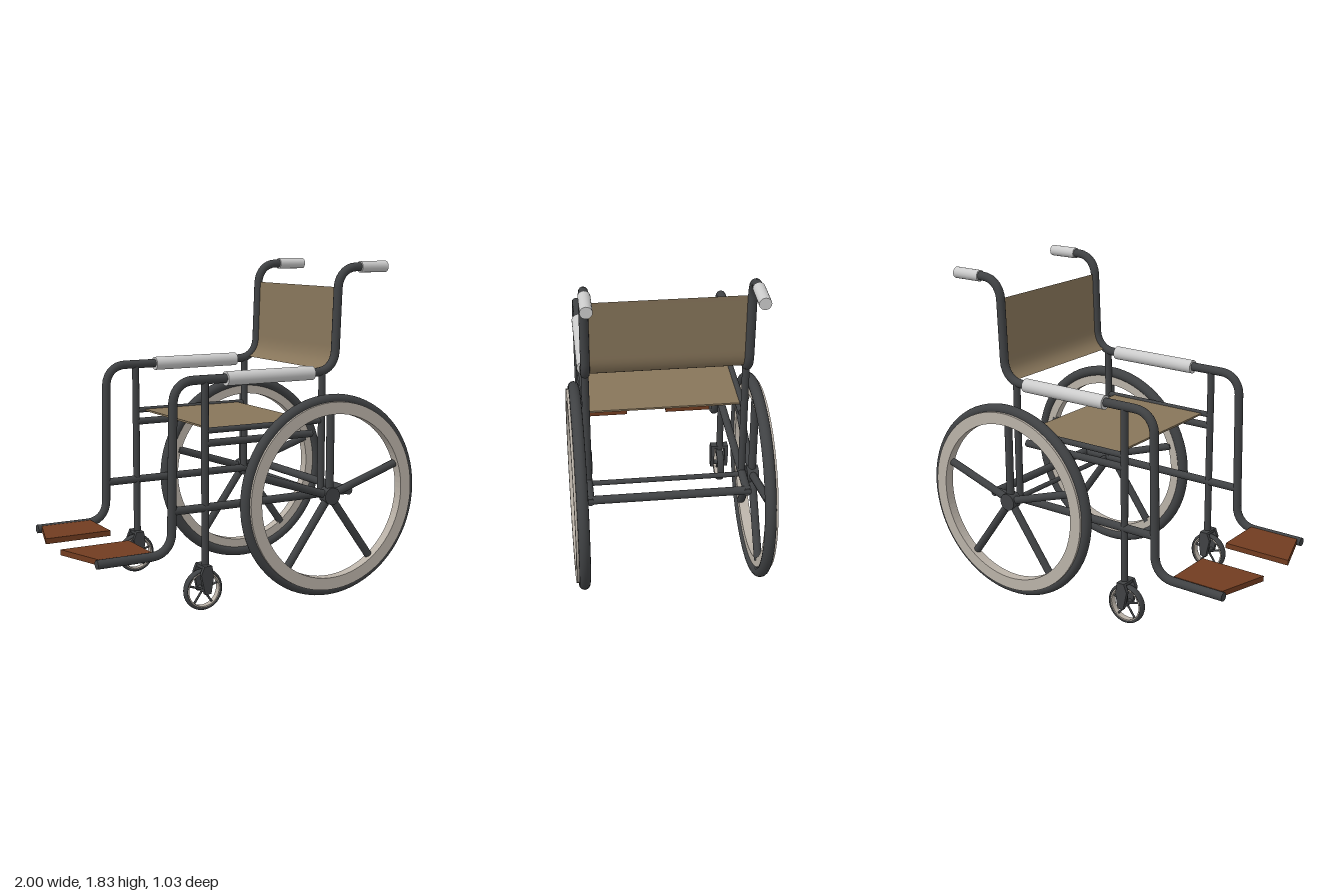
import * as THREE from 'three';

const V = (x, y, z = 0) => new THREE.Vector3(x, y, z);
const mat = (color, side = THREE.FrontSide) => new THREE.MeshStandardMaterial({ color, side });

const TRACK = 0.42;        // z of the side frames
const WHEEL_Z = 0.474;     // z of the large wheels
const AXLE = V(0.438, 0.563);

// path through points with rounded inner corners
function roundedPath(points, radius) {
  const path = new THREE.CurvePath();
  let from = points[0];
  for (let i = 1; i < points.length - 1; i++) {
    const p = points[i];
    const a = p.clone().add(points[i - 1].clone().sub(p).setLength(radius));
    const b = p.clone().add(points[i + 1].clone().sub(p).setLength(radius));
    path.add(new THREE.LineCurve3(from, a));
    path.add(new THREE.CubicBezierCurve3(a, a.clone().lerp(p, 0.6), b.clone().lerp(p, 0.6), b));
    from = b;
  }
  path.add(new THREE.LineCurve3(from, points[points.length - 1]));
  return path;
}

export function createModel() {
  const model = new THREE.Group();
  model.name = 'wheelchair';
  const steel = mat(0x404244), pad = mat(0xcccccc), rimMat = mat(0xbab2a8);
  const canvas = mat(0x87755a, THREE.DoubleSide), wood = mat(0x713c20);

  function add(parent, name, geometry, material) {
    const mesh = new THREE.Mesh(geometry, material);
    mesh.name = name;
    parent.add(mesh);
    return mesh;
  }

  // straight round bar between two points
  function bar(parent, name, a, b, r, material = steel, sides = 16) {
    const mesh = add(parent, name, new THREE.CylinderGeometry(r, r, a.distanceTo(b), sides), material);
    mesh.position.copy(a).lerp(b, 0.5);
    mesh.quaternion.setFromUnitVectors(V(0, 1, 0), b.clone().sub(a).normalize());
    return mesh;
  }

  // flat ring centred on z = 0
  function ring(parent, name, outer, inner, depth, material) {
    const shape = new THREE.Shape().absarc(0, 0, outer, 0, Math.PI * 2);
    shape.holes.push(new THREE.Path().absarc(0, 0, inner, 0, Math.PI * 2, true));
    const g = new THREE.ExtrudeGeometry(shape, { depth, bevelEnabled: false, curveSegments: 48 });
    return add(parent, name, g.translate(0, 0, -depth / 2), material);
  }

  function spokes(parent, length, r) {
    for (let i = 0; i < 5; i++) {
      const a = Math.PI / 2 + i * Math.PI * 0.4;
      bar(parent, 'spoke', V(0, 0), V(Math.cos(a) * length, Math.sin(a) * length), r, steel, 12);
    }
  }

  const framePath = roundedPath([
    V(-0.925, 0.342), V(-0.505, 0.342), V(-0.49, 1.24), V(0.495, 1.24), V(0.515, 1.802), V(0.68, 1.802),
  ], 0.115);

  function largeWheel(s) {
    const wheel = new THREE.Group();
    wheel.name = 'largeWheel';
    wheel.position.set(AXLE.x, AXLE.y, s * WHEEL_Z);
    add(wheel, 'tire', new THREE.TorusGeometry(0.531, 0.03, 16, 72), steel);
    ring(wheel, 'rim', 0.522, 0.455, 0.056, rimMat).position.z = s * 0.014;
    spokes(wheel, 0.47, 0.022);
    bar(wheel, 'hub', V(0, 0, -0.032), V(0, 0, 0.032), 0.048, steel, 24);
    model.add(wheel);
  }

  function caster(s) {
    const group = new THREE.Group();
    group.name = 'caster';
    group.position.set(-0.32, 0.127, s * 0.417);
    const tire = add(group, 'casterTire', new THREE.TorusGeometry(0.102, 0.01, 12, 40), steel);
    tire.scale.z = 2.1;
    ring(group, 'casterRim', 0.1, 0.089, 0.034, rimMat);
    spokes(group, 0.094, 0.006);
    bar(group, 'casterAxle', V(0, 0, -0.05), V(0, 0, 0.05), 0.014);
    // fork: two slanted cheeks joined by a crown
    const cheek = new THREE.Shape([[-0.035, 0.09], [-0.012, -0.016], [0.024, -0.016], [0.038, 0.07], [0.03, 0.135], [-0.016, 0.135]]
      .map(([x, y]) => new THREE.Vector2(x, y)));
    for (const side of [-1, 1]) {
      const g = new THREE.ExtrudeGeometry(cheek, { depth: 0.02, bevelEnabled: false });
      add(group, 'forkCheek', g, steel).position.z = side * 0.042 - 0.01;
    }
    add(group, 'forkCrown', new THREE.BoxGeometry(0.046, 0.018, 0.1), steel).position.set(0.007, 0.126, 0);
    model.add(group);
  }

  function sideFrame(s) {
    const frame = new THREE.Group();
    frame.name = s > 0 ? 'leftFrame' : 'rightFrame';
    frame.position.z = s * TRACK;
    model.add(frame);

    add(frame, 'mainTube', new THREE.TubeGeometry(framePath, 110, 0.024, 14), steel);
    const cap = add(frame, 'tubeEnd', new THREE.CircleGeometry(0.024, 14), steel);
    cap.position.set(-0.925, 0.342, 0);
    cap.rotation.y = -Math.PI / 2;

    bar(frame, 'frontPost', V(-0.307, 1.24), V(-0.307, 0.235), 0.02);
    bar(frame, 'rearPost', V(0.415, 1.24), V(0.415, 0.565), 0.02);
    bar(frame, 'lowerRail', V(-0.5, 0.567), V(0.612, 0.567), 0.022);
    bar(frame, 'seatRail', V(-0.307, 0.973), V(0.415, 0.973), 0.016);
    bar(frame, 'underSeatRail', V(-0.307, 0.907), V(0.35, 0.907), 0.02);
    bar(frame, 'armrest', V(-0.185, 1.238), V(0.35, 1.238), 0.038, pad, 24);
    bar(frame, 'handGrip', V(0.652, 1.802), V(0.823, 1.802), 0.031, pad, 20);
  }

  // tapered footplate reaching inward from the foot tube
  function footplate(s) {
    const tip = s > 0 ? -1 : -0.988;
    const corners = [[-0.905, -0.402], [-0.61, -0.402], [-0.61, -0.122], [tip, -0.122]];
    const shape = new THREE.Shape(corners.map(([x, z]) => new THREE.Vector2(x, -z * -s)));
    const g = new THREE.ExtrudeGeometry(shape, { depth: 0.03, bevelEnabled: false });
    add(model, 'footplate', g.rotateX(-Math.PI / 2).translate(0, 0.331, 0), wood);
  }

  for (const s of [-1, 1]) {
    sideFrame(s);
    largeWheel(s);
    caster(s);
    footplate(s);
  }

  // cross members
  bar(model, 'axleBar', V(AXLE.x - 0.005, AXLE.y, -WHEEL_Z), V(AXLE.x - 0.005, AXLE.y, WHEEL_Z), 0.014);
  bar(model, 'rearCrossBar', V(0.592, 0.567, -0.44), V(0.592, 0.567, 0.44), 0.023);

  // seat sling
  add(model, 'seat', new THREE.BoxGeometry(0.615, 0.01, 0.81), canvas).position.set(0.053, 0.972, 0);

  // backrest sling follows the bend of the main tubes
  const spine = framePath.getSpacedPoints(400).filter(p => p.x > 0.43 && p.y > 1.25 && p.y < 1.7);
  const rows = 16;
  const back = new THREE.PlaneGeometry(1, 0.81, rows, 1);
  const pos = back.attributes.position;
  for (let i = 0; i < pos.count; i++) {
    const p = spine[Math.round((pos.getX(i) + 0.5) * (spine.length - 1))];
    pos.setXYZ(i, p.x, p.y, pos.getY(i));
  }
  back.computeVertexNormals();
  add(model, 'backrest', back, canvas);

  return model;
}
